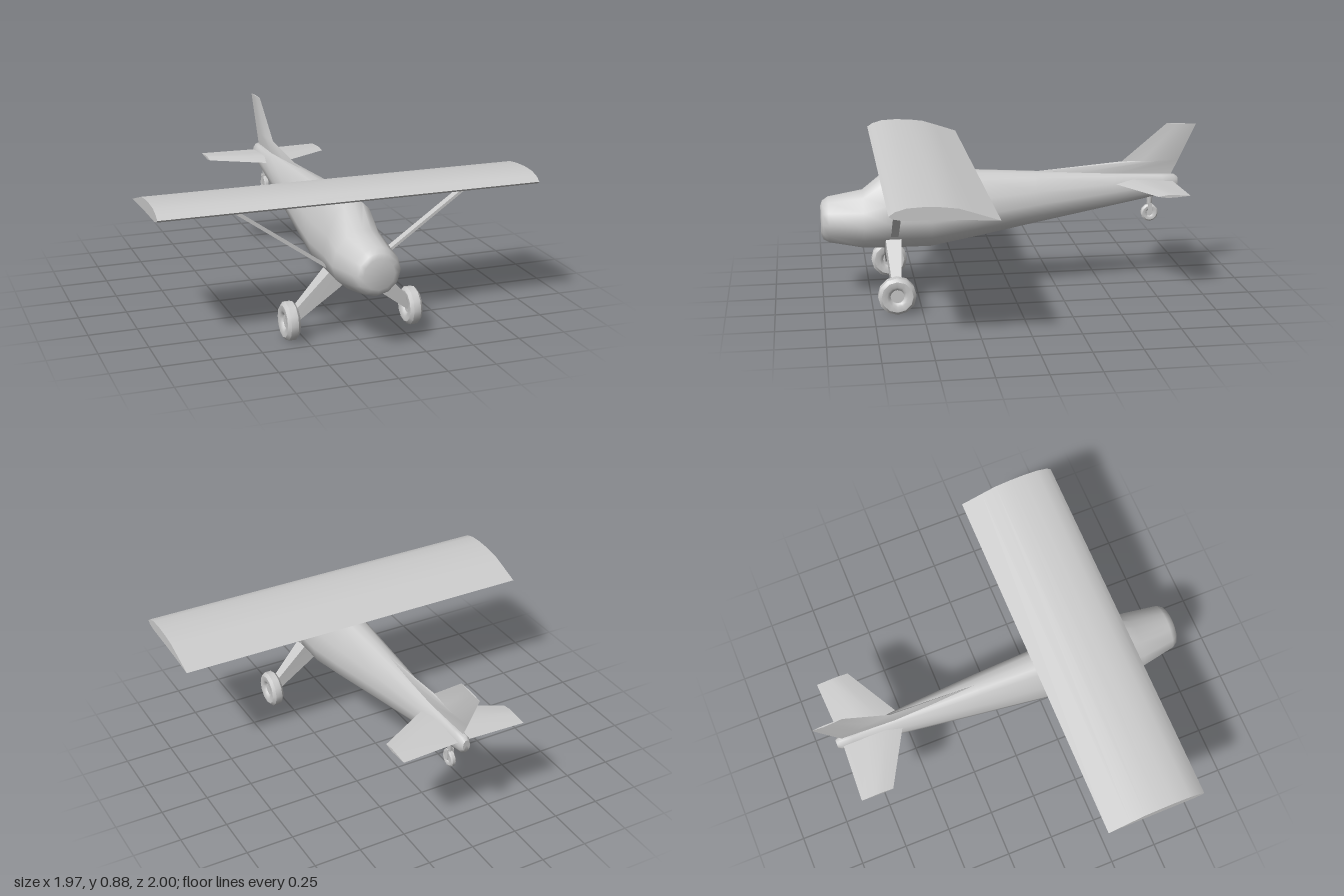
import * as THREE from 'three';
import { toCreasedNormals } from 'three/addons/utils/BufferGeometryUtils.js';

const material = new THREE.MeshStandardMaterial({ color: 0xcccccc });

// Skin a list of equal-sized point rings and close both ends; winding is made outward.
function loft(rings, crease = 0.7) {
  const n = rings[0].length, last = rings.length - 1;
  const pts = rings.flat().map(p => new THREE.Vector3(...p));
  const center = r => rings[r].reduce((c, p) => c.add(new THREE.Vector3(...p)), new THREE.Vector3()).divideScalar(n);
  const tris = [];
  pts.push(center(0), center(last));
  const c0 = pts.length - 2, c1 = pts.length - 1;
  for (let i = 0; i < n; i++) {
    const j = (i + 1) % n;
    for (let r = 0; r < last; r++) {
      const a = r * n + i, b = r * n + j;
      tris.push([a, b, b + n], [a, b + n, a + n]);
    }
    tris.push([c0, j, i], [c1, last * n + i, last * n + j]);
  }
  let volume = 0;
  const cross = new THREE.Vector3();
  for (const [a, b, c] of tris) volume += pts[a].dot(cross.crossVectors(pts[b], pts[c]));
  if (volume < 0) tris.forEach(t => t.reverse());
  const geo = new THREE.BufferGeometry().setFromPoints(pts);
  geo.setIndex(tris.flat());
  return toCreasedNormals(geo, crease);
}

function add(parent, geo, name) {
  const mesh = new THREE.Mesh(geo, material);
  mesh.name = name;
  parent.add(mesh);
  return mesh;
}

// Half sections as [width, height] fractions, bottom to top
const ROUND = [[0, 0], [0.5, 0.067], [0.866, 0.25], [1, 0.5], [0.866, 0.75], [0.5, 0.933], [0.26, 0.983], [0, 1]];
const CABIN = [[0, 0], [0.4, 0.04], [0.84, 0.19], [1, 0.4], [0.85, 0.62], [0.54, 0.9], [0.32, 0.98], [0, 1]];

// Fuselage stations: z, bottom, top, half width, cabin blend
const STATIONS = [
  [-0.905, 0.525, 0.59, 0.02, 0], [-0.885, 0.507, 0.605, 0.032, 0], [-0.82, 0.492, 0.608, 0.036, 0],
  [-0.56, 0.443, 0.622, 0.06, 0.2], [-0.13, 0.362, 0.645, 0.103, 0.6], [0.2, 0.3, 0.665, 0.133, 1],
  [0.43, 0.259, 0.675, 0.153, 1], [0.65, 0.26, 0.68, 0.157, 1], [0.78, 0.266, 0.575, 0.157, 0.3],
  [0.96, 0.302, 0.545, 0.125, 0], [0.99, 0.32, 0.525, 0.105, 0], [1, 0.345, 0.5, 0.08, 0],
];

function fuselage() {
  const rings = STATIONS.map(([z, lo, hi, w, k]) => {
    const half = ROUND.map(([u, v], i) => [
      w * THREE.MathUtils.lerp(u, CABIN[i][0], k),
      lo + (hi - lo) * THREE.MathUtils.lerp(v, CABIN[i][1], k), z]);
    const mirrored = half.slice(1, -1).reverse().map(([x, y]) => [-x, y, z]);
    return [...half, ...mirrored];
  });
  return loft(rings, 0.9);
}

// Main wing: constant section swept straight across
function wing() {
  const section = [
    [0.185, 0.663], [0.3, 0.702], [0.38, 0.728], [0.46, 0.738], [0.54, 0.742], [0.62, 0.738],
    [0.675, 0.722], [0.703, 0.702], [0.685, 0.689], [0.64, 0.68], [0.45, 0.676], [0.3, 0.67]];
  return loft([-0.985, 0.985].map(x => section.map(([z, y]) => [x, y, z])));
}

// Diamond-like section between a leading and a trailing edge
const finRing = (zFront, yFront, zBack, yBack, t) => [0, 0.35, 0.62, 1, 0.62, 0.35].map((f, i) => {
  const side = i < 3 ? 1 : -1;
  const thick = f === 0 || f === 1 ? 0 : f === 0.35 ? 0.75 * t : t;
  return [side * thick, yFront + (yBack - yFront) * f, zFront + (zBack - zFront) * f];
});

const tailplaneRing = (x, zFront, zBack, t) => [0, 0.3, 0.6, 1, 0.6, 0.3].map((f, i) => {
  const thick = f === 0 || f === 1 ? 0 : f === 0.3 ? t : 0.7 * t;
  return [x, 0.57 + (i < 3 ? thick : -thick), zFront + (zBack - zFront) * f];
});

// Tyre with a recessed hub on both faces, turned around the x axis
function wheelGeometry(r, w) {
  const half = [[0, 0.55], [0.36, 0.55], [0.42, 0.8], [0.55, 1], [0.83, 1], [1, 0.55]];
  const profile = [...half.map(([a, b]) => [a, -b]), ...half.slice().reverse()]
    .map(([a, b]) => new THREE.Vector2(a * r, b * w));
  const geo = new THREE.LatheGeometry(profile, 12);
  geo.rotateZ(-Math.PI / 2);
  return toCreasedNormals(geo, 0.6);
}

export function createModel() {
  const model = new THREE.Group();
  model.name = 'airplane';
  add(model, fuselage(), 'fuselage');
  add(model, wing(), 'wing');

  // Fin with a long dorsal fillet
  add(model, loft([
    finRing(-0.1, 0.63, -0.868, 0.595, 0.015),
    finRing(-0.13, 0.644, -0.873, 0.61, 0.014),
    finRing(-0.6, 0.682, -0.908, 0.68, 0.011),
    finRing(-0.84, 0.882, -1, 0.875, 0.004),
  ], 0.5), 'tailFin');

  for (const s of [1, -1]) {
    const side = s > 0 ? 'left' : 'right';
    add(model, loft([
      tailplaneRing(0, -0.53, -0.875, 0.019),
      tailplaneRing(s * 0.05, -0.56, -0.877, 0.018),
      tailplaneRing(s * 0.338, -0.72, -0.89, 0.008),
    ], 0.4), side + 'Tailplane');

    // Flat wing strut
    const strutRing = (x, y) => [[-0.004, 0.006, -1], [-0.004, 0.006, 1], [0.004, -0.006, 1], [0.004, -0.006, -1]]
      .map(([dx, dy, e]) => [s * (x + dx), y + dy, 0.625 + e * 0.02]);
    add(model, loft([strutRing(0.125, 0.355), strutRing(0.59, 0.682)]), side + 'Strut');

    // Tapered landing gear leg
    const legRing = (x0, y0, x1, y1, d) =>
      [[x0, y0, -d], [x0, y0, d], [x1, y1, d], [x1, y1, -d]].map(([x, y, z]) => [s * x, y, 0.63 + z]);
    add(model, loft([
      legRing(0.13, 0.34, 0.06, 0.265, 0.041),
      legRing(0.31, 0.145, 0.3, 0.085, 0.022),
    ]), side + 'GearLeg');
    add(model, wheelGeometry(0.098, 0.033), side + 'Wheel').position.set(s * 0.323, 0.098, 0.63);
  }

  // Tail wheel on a forked post
  add(model, wheelGeometry(0.047, 0.014), 'tailWheel').position.set(0, 0.395, -0.757);
  const post = new THREE.CylinderGeometry(0.018, 0.013, 0.07, 8);
  add(model, post, 'tailWheelPost').position.set(0, 0.475, -0.757);
  for (const s of [1, -1]) {
    add(model, new THREE.BoxGeometry(0.006, 0.06, 0.02), 'tailWheelFork').position.set(s * 0.016, 0.42, -0.757);
  }
  return model;
}
